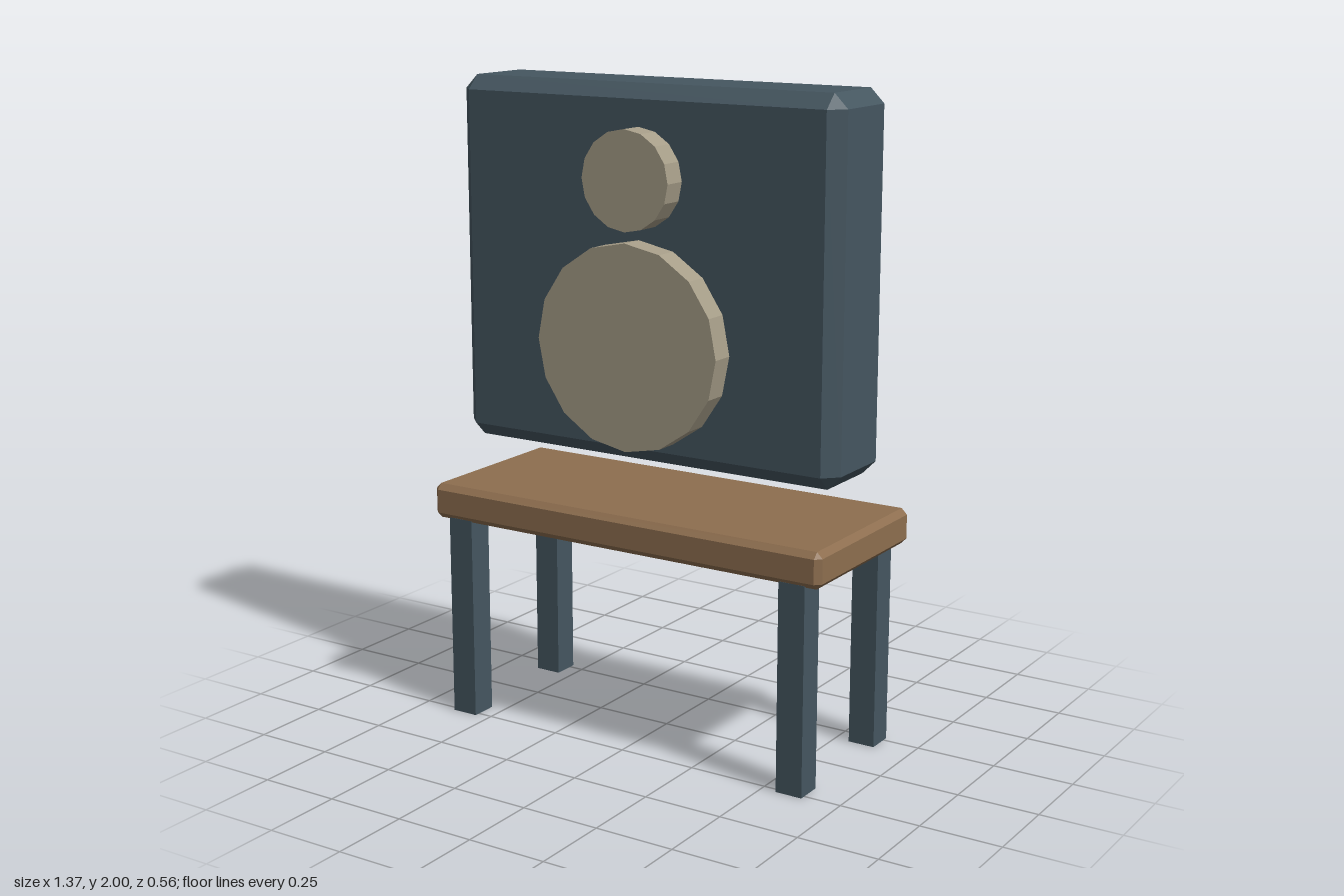
import * as THREE from 'three';
import { ConvexGeometry } from 'three/addons/geometries/ConvexGeometry.js';

const material = (color) => new THREE.MeshStandardMaterial({ color, flatShading: true });

// Box with every edge cut at 45 degrees and triangular corner facets
function chamferedBox(w, h, d, c) {
  const points = [];
  for (const sx of [-1, 1]) for (const sy of [-1, 1]) for (const sz of [-1, 1]) {
    const x = w / 2, y = h / 2, z = d / 2;
    points.push(
      new THREE.Vector3(sx * x, sy * (y - c), sz * (z - c)),
      new THREE.Vector3(sx * (x - c), sy * y, sz * (z - c)),
      new THREE.Vector3(sx * (x - c), sy * (y - c), sz * z));
  }
  return new ConvexGeometry(points);
}

export function createModel() {
  const model = new THREE.Group();
  model.name = 'benchWithSpeakerPanel';
  const slate = material(0x455660);
  const wood = material(0x8d6e4f);
  const beige = material(0xa69d88);

  const add = (name, geometry, mat, x, y, z) => {
    const mesh = new THREE.Mesh(geometry, mat);
    mesh.name = name;
    mesh.position.set(x, y, z);
    model.add(mesh);
  };

  // Floating panel and the bench top
  add('panel', chamferedBox(1.31, 1.12, 0.3, 0.043), slate, 0, 1.44, 0);
  add('benchTop', chamferedBox(1.37, 0.11, 0.56, 0.018), wood, 0, 0.69, 0);

  // Four square legs
  const leg = new THREE.BoxGeometry(0.085, 0.64, 0.085);
  for (const x of [-1, 1]) for (const z of [-1, 1]) {
    add(`${z > 0 ? 'front' : 'back'}${x > 0 ? 'Left' : 'Right'}Leg`, leg, slate, x * 0.59, 0.32, z * 0.225);
  }

  // Sixteen-sided discs on the panel front
  for (const [name, radius, y] of [['smallDisc', 0.148, 1.73], ['largeDisc', 0.31, 1.24]]) {
    const disc = new THREE.CylinderGeometry(radius, radius, 0.075, 16).rotateX(Math.PI / 2);
    add(name, disc, beige, 0, y, 0.1875);
  }
  return model;
}
